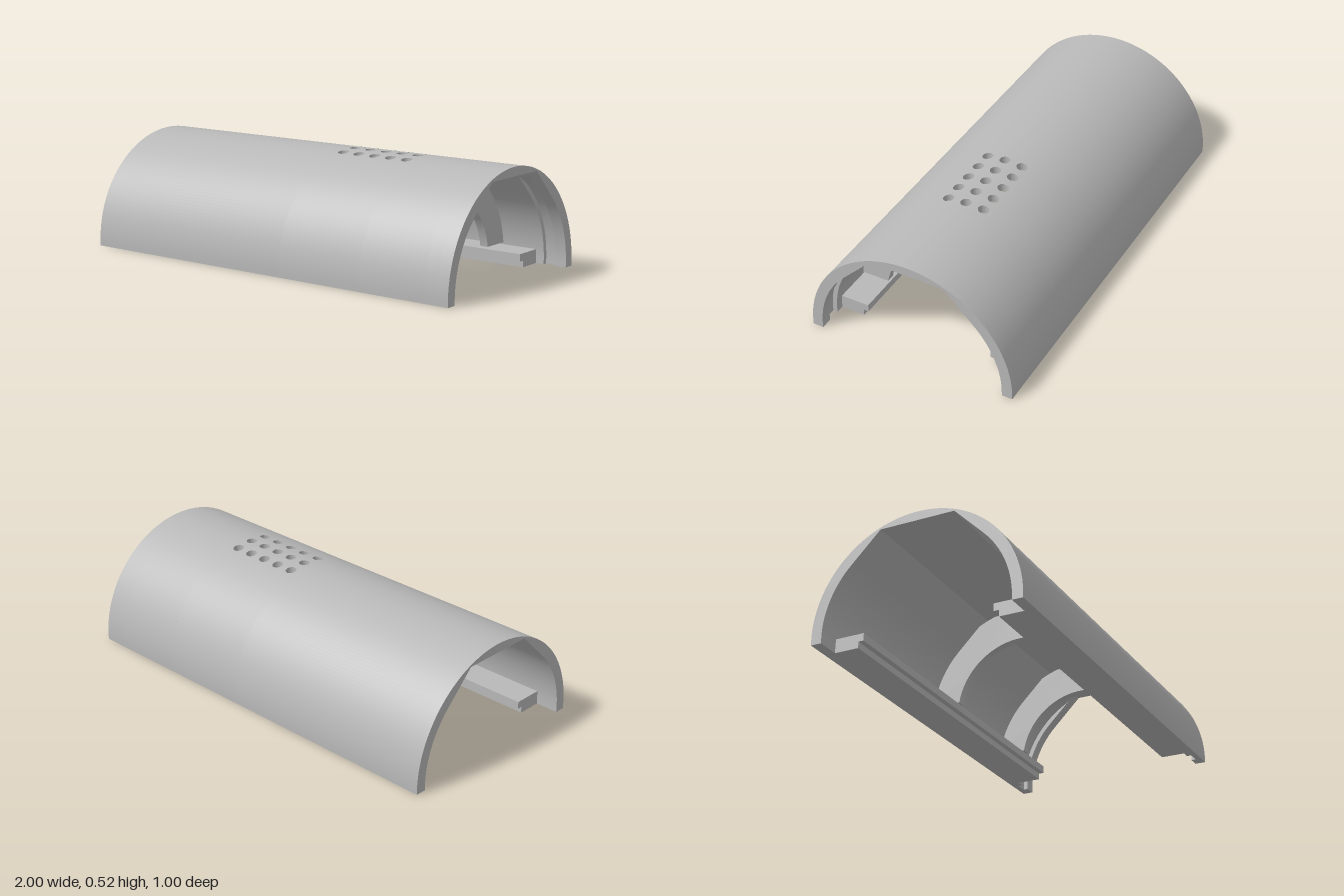
import * as THREE from 'three';
import { toCreasedNormals } from 'three/addons/utils/BufferGeometryUtils.js';

const AXIS_Y = 0.02;      // height of the cylinder axis
const OUTER = 0.5, INNER = 0.45, ROOF = 0.458; // radii, and flat roof height above the axis
const GROOVE = 0.472;
const PITCH = 0.0875, HOLE_R = 0.025, HOLES_X = 0.3225;
const HALF_Z = PITCH * 1.5, X0 = HOLES_X - PITCH * 2.5, X1 = HOLES_X + PITCH * 2.5;

const grey = new THREE.MeshStandardMaterial({ color: 0xb8b8b8 });
grey.name = 'grey plastic';

// Inner wall radius: round side, 45 degree chamfer, flat roof
function innerRadius(t) {
  if (t <= Math.PI / 4) return INNER;
  return Math.min(INNER / Math.cos(t - Math.PI / 4), ROOF / Math.sin(t));
}
const grooveRadius = (t) => Math.max(GROOVE, innerRadius(t));

// Extrude a cross-section (z, y) along x
function extrudeX(points, x0, x1, side = 1) {
  const shape = new THREE.Shape(points.map(([z, y]) => new THREE.Vector2(side * z, y)));
  const geo = new THREE.ExtrudeGeometry(shape, { depth: x1 - x0, bevelEnabled: false });
  // shape x runs to -z after the turn
  geo.rotateY(Math.PI / 2).translate(x0, 0, 0);
  return toCreasedNormals(geo, 0.2);
}

function arc(radius, t0, t1, steps) {
  const pts = [];
  for (let i = 0; i <= steps; i++) {
    const t = t0 + ((t1 - t0) * i) / steps;
    const r = typeof radius === 'function' ? radius(t) : radius;
    pts.push([r * Math.cos(t), AXIS_Y + r * Math.sin(t)]);
  }
  return pts;
}

// Half of the shell's cross-section, from the foot up to a chosen end angle
function halfShell(radius, outerEnd, innerEnd) {
  const corner = Math.atan2(ROOF, INNER * Math.SQRT2 - ROOF);
  const q = Math.PI / 4;
  const inner = [
    ...arc(radius, 0, q, 24),
    ...arc(radius, q, corner, 20).slice(1),
    ...arc(radius, corner, innerEnd, 16).slice(1),
  ].reverse();
  return [[OUTER, 0], ...arc(OUTER, 0, outerEnd, 48), ...inner, [radius(0), 0]];
}

// Square piece of the roof with one round hole, following the outer curve
function holeCell(cx, cz) {
  const N = 32, pos = [];
  const top = (x, z) => [x, AXIS_Y + Math.sqrt(OUTER * OUTER - z * z), z];
  const low = (x, z) => [x, AXIS_Y + ROOF, z];
  const quad = (a, b, c, d) => pos.push(...a, ...b, ...c, ...a, ...c, ...d);
  const rim = (i, f, square) => {
    const t = (i / N) * Math.PI * 2, c = Math.cos(t), s = Math.sin(t);
    const r = square ? PITCH / 2 / Math.max(Math.abs(c), Math.abs(s)) : HOLE_R;
    return f(cx + r * c, cz + r * s);
  };
  for (let i = 0; i < N; i++) {
    const j = i + 1;
    quad(rim(i, top), rim(j, top), rim(j, top, true), rim(i, top, true));
    quad(rim(i, top), rim(i, low), rim(j, low), rim(j, top));
    quad(rim(i, low), rim(i, low, true), rim(j, low, true), rim(j, low));
  }
  const geo = new THREE.BufferGeometry();
  geo.setAttribute('position', new THREE.Float32BufferAttribute(pos, 3));
  return toCreasedNormals(geo, 0.3);
}

export function createModel() {
  const model = new THREE.Group();
  model.name = 'halfTubeCover';
  const add = (name, geo, parent = model) => {
    const mesh = new THREE.Mesh(geo, grey);
    mesh.name = name;
    parent.add(mesh);
  };

  // Shell in lengths: plain, beside the holes, plain, grooved, end rim
  const shell = new THREE.Group();
  shell.name = 'shell';
  model.add(shell);
  const top = Math.PI / 2;
  const plain = halfShell(innerRadius, top, top);
  const grooved = halfShell(grooveRadius, top, top);
  const besideHoles = halfShell(innerRadius, Math.acos(HALF_Z / OUTER), Math.atan2(ROOF, HALF_Z));
  const lengths = [
    ['shellBody', plain, -1, X0],
    ['shellBesideHoles', besideHoles, X0, X1],
    ['shellNearEnd', plain, X1, 0.885],
    ['shellGroove', grooved, 0.885, 0.945],
    ['shellRim', plain, 0.945, 1],
  ];
  for (const side of [-1, 1]) {
    for (const [name, pts, a, b] of lengths) add(name, extrudeX(pts, a, b, side), shell);
  }

  // Grid of round vent holes
  const vents = new THREE.Group();
  vents.name = 'ventHoles';
  model.add(vents);
  for (let i = -2; i <= 2; i++) {
    for (let k = -1; k <= 1; k++) add('ventCell', holeCell(HOLES_X + i * PITCH, k * PITCH), vents);
  }

  // Arched ribs inside
  const ribOut = 0.475, ribIn = 0.318, foot = 0.055;
  const a = Math.asin(foot / ribOut), b = Math.asin(foot / ribIn);
  const ribShape = [...arc(ribOut, a, Math.PI - a, 72), ...arc(ribIn, Math.PI - b, b, 72)];
  for (const x of [0.67, 0]) add('archRib', extrudeX(ribShape, x - 0.04, x));

  // Stepped rails along both lower edges
  const railShape = [[INNER, 0], [INNER, 0.065], [0.31, 0.065], [0.31, 0.03], [0.335, 0.03], [0.335, 0]];
  for (const side of [-1, 1]) add('rail', extrudeX(railShape, -0.89, 0.845, side));

  return model;
}
